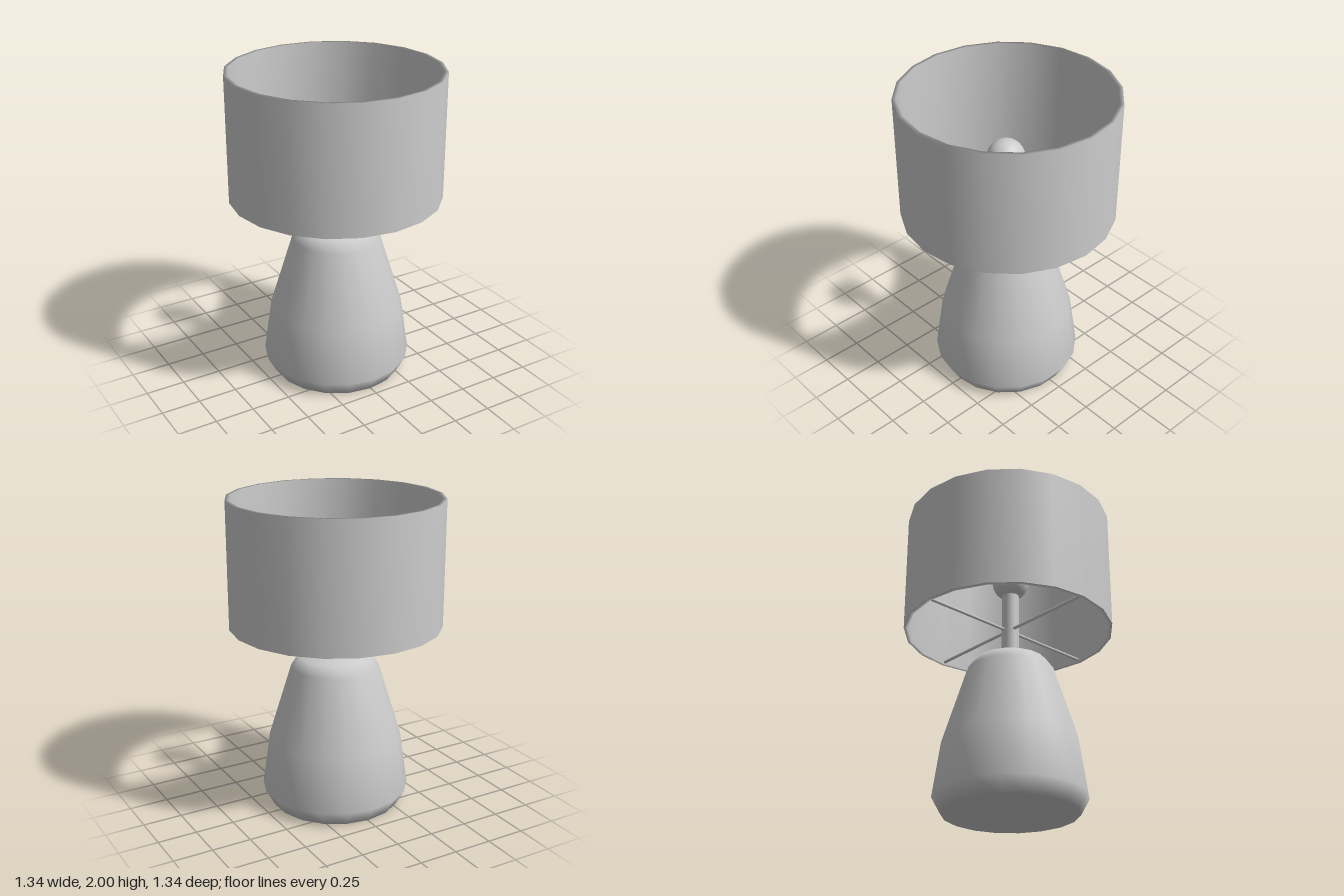
import * as THREE from 'three';

const material = new THREE.MeshStandardMaterial({ color: 0xcccccc });

function addMesh(parent, name, geometry, x = 0, y = 0, z = 0) {
  const mesh = new THREE.Mesh(geometry, material);
  mesh.name = name;
  mesh.position.set(x, y, z);
  parent.add(mesh);
  return mesh;
}

// Smooth body of revolution from [radius, height] pairs
function lathe(profile, sides) {
  return new THREE.LatheGeometry(profile.map(([r, y]) => new THREE.Vector2(r, y)), sides);
}

export function createModel() {
  const lamp = new THREE.Group();
  lamp.name = 'tableLamp';

  // The foot, stem and bulb sit slightly off the shade's axis
  const stand = new THREE.Group();
  stand.name = 'stand';
  stand.position.set(-0.004, 0, 0.015);
  lamp.add(stand);

  // Tapered foot with bevelled bottom and rounded shoulder
  addMesh(stand, 'base', lathe([
    [0, 0], [0.42, 0], [0.475, 0.1], [0.425, 0.45],
    [0.28, 0.92], [0.23, 0.99], [0.06, 1.02], [0, 1.02],
  ], 18));

  // Stem and bulb
  addMesh(stand, 'stem', new THREE.CylinderGeometry(0.056, 0.056, 0.5, 18), 0, 1.26, 0);
  addMesh(stand, 'bulb', new THREE.SphereGeometry(0.117, 32, 20), 0, 1.57, 0);

  // Drum shade: thin closed wall, open at both ends
  addMesh(lamp, 'shade', lathe([
    [0.67, 1.2], [0.67, 2], [0.645, 2], [0.645, 1.2], [0.67, 1.2],
  ], 20));

  // Four spokes holding the shade to the stem
  for (let i = 0; i < 4; i++) {
    const arm = new THREE.Group();
    arm.name = 'spokeArm';
    arm.rotation.y = i * Math.PI / 2;
    lamp.add(arm);
    const spoke = addMesh(arm, 'spoke', new THREE.CylinderGeometry(0.01, 0.01, 0.65, 8), 0.325, 1.215, 0);
    spoke.rotation.z = Math.PI / 2;
  }

  return lamp;
}
